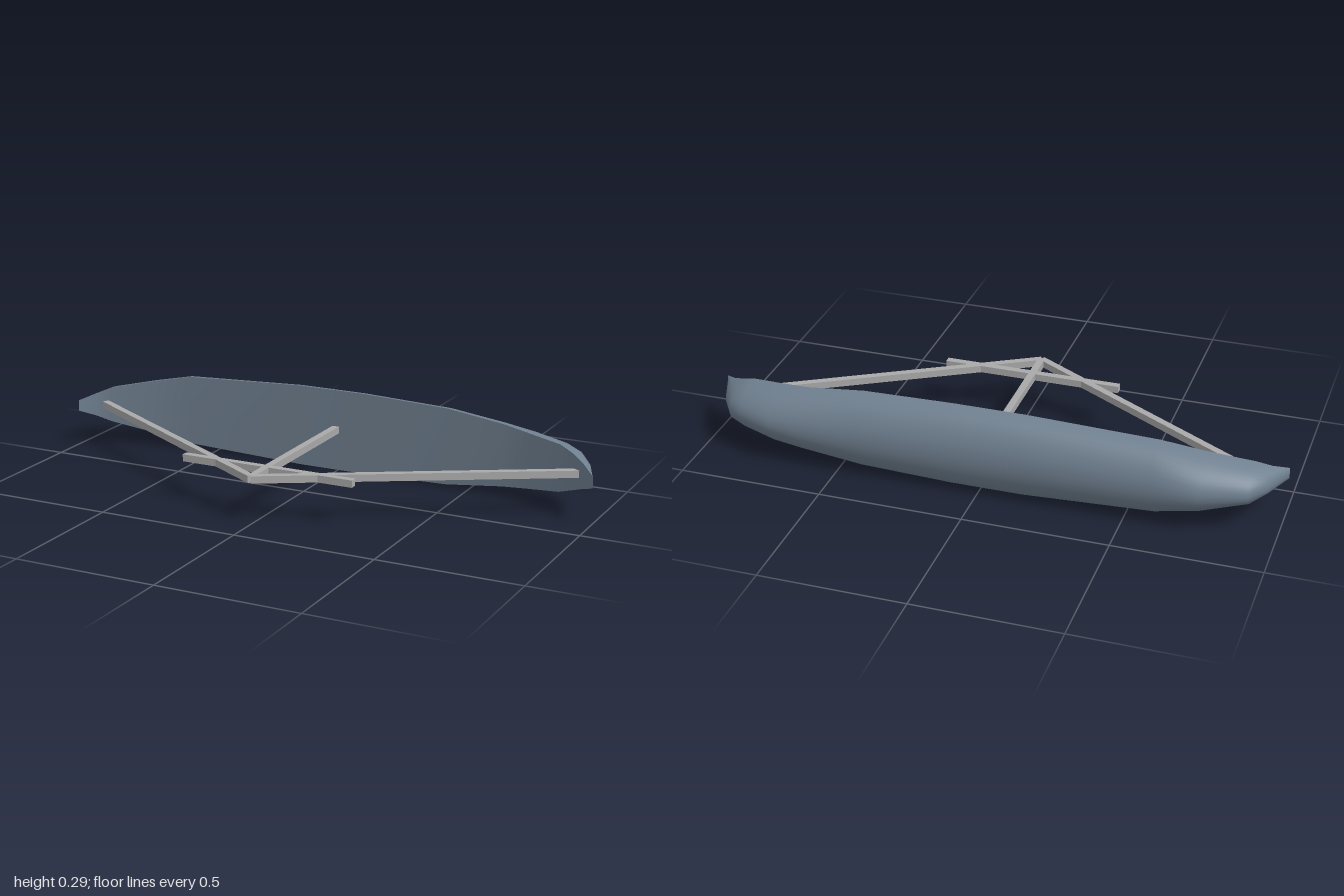
import * as THREE from 'three';

const MID = 0.148; // height of the centre line

// Hull stations along x: [x, half height, front z, back z]
const STATIONS = [
  [-1, 0.02, -0.128, -0.128], [-0.95, 0.043, -0.17, -0.24], [-0.9, 0.065, -0.195, -0.315],
  [-0.75, 0.097, -0.235, -0.374], [-0.6, 0.127, -0.26, -0.374], [-0.15, 0.147, -0.272, -0.374],
  [0.1, 0.147, -0.272, -0.374], [0.42, 0.137, -0.266, -0.374], [0.63, 0.111, -0.258, -0.374],
  [0.73, 0.098, -0.237, -0.374], [0.85, 0.083, -0.21, -0.335], [0.9, 0.065, -0.192, -0.315],
  [0.95, 0.043, -0.16, -0.24], [1, 0.02, -0.112, -0.112],
];

// Lofts a strip of cross-sections along x; section(station, t) with t from -1 to 1
function loft(segments, section, facesBack) {
  const positions = [], index = [], row = segments + 1;
  STATIONS.forEach((station, i) => {
    for (let j = 0; j <= segments; j++) {
      positions.push(...section(station, (j / segments) * 2 - 1));
      if (i && j) {
        const a = (i - 1) * row + j - 1, b = i * row + j - 1, c = b + 1, d = a + 1;
        index.push(...(facesBack ? [a, c, b, a, d, c] : [a, b, c, a, c, d]));
      }
    }
  });
  const geometry = new THREE.BufferGeometry();
  geometry.setAttribute('position', new THREE.Float32BufferAttribute(positions, 3));
  geometry.setIndex(index);
  geometry.computeVertexNormals();
  return geometry;
}

export function createModel() {
  const group = new THREE.Group();
  const slate = new THREE.MeshStandardMaterial({ color: 0x708090 });
  slate.name = 'slate blue';
  const grey = new THREE.MeshStandardMaterial({ color: 0xa9a9a9 });
  grey.name = 'strut grey';

  const add = (name, geometry, material) => {
    const mesh = new THREE.Mesh(geometry, material);
    mesh.name = name;
    group.add(mesh);
    return mesh;
  };

  // Rounded back of the hull: half an ellipse at each station
  add('hullBack', loft(20, ([x, h, front, back], t) => {
    const angle = t * Math.PI / 2;
    return [x, MID + h * Math.sin(angle), front + (back - front) * Math.cos(angle)];
  }, true), slate);

  // Flat front face, bending forward at the tips
  add('hullFront', loft(1, ([x, h, front], t) => [x, MID + h * t, front], false), slate);

  // Square struts, laid between two points [x, z] at mid height
  const strut = (name, [x0, z0], [x1, z1]) => {
    const length = Math.hypot(x1 - x0, z1 - z0);
    const mesh = add(name, new THREE.BoxGeometry(0.025, 0.025, length), grey);
    mesh.position.set((x0 + x1) / 2, MID + 0.002, (z0 + z1) / 2);
    mesh.rotation.y = Math.atan2(x1 - x0, z1 - z0);
  };
  const apex = [-0.01, 0.361];
  strut('leftStrut', apex, [0.927, -0.183]);
  strut('rightStrut', apex, [-0.917, -0.183]);
  strut('centreStrut', apex, [-0.01, -0.285]);
  strut('crossBar', [-0.326, 0.25], [0.309, 0.25]);

  return group;
}
